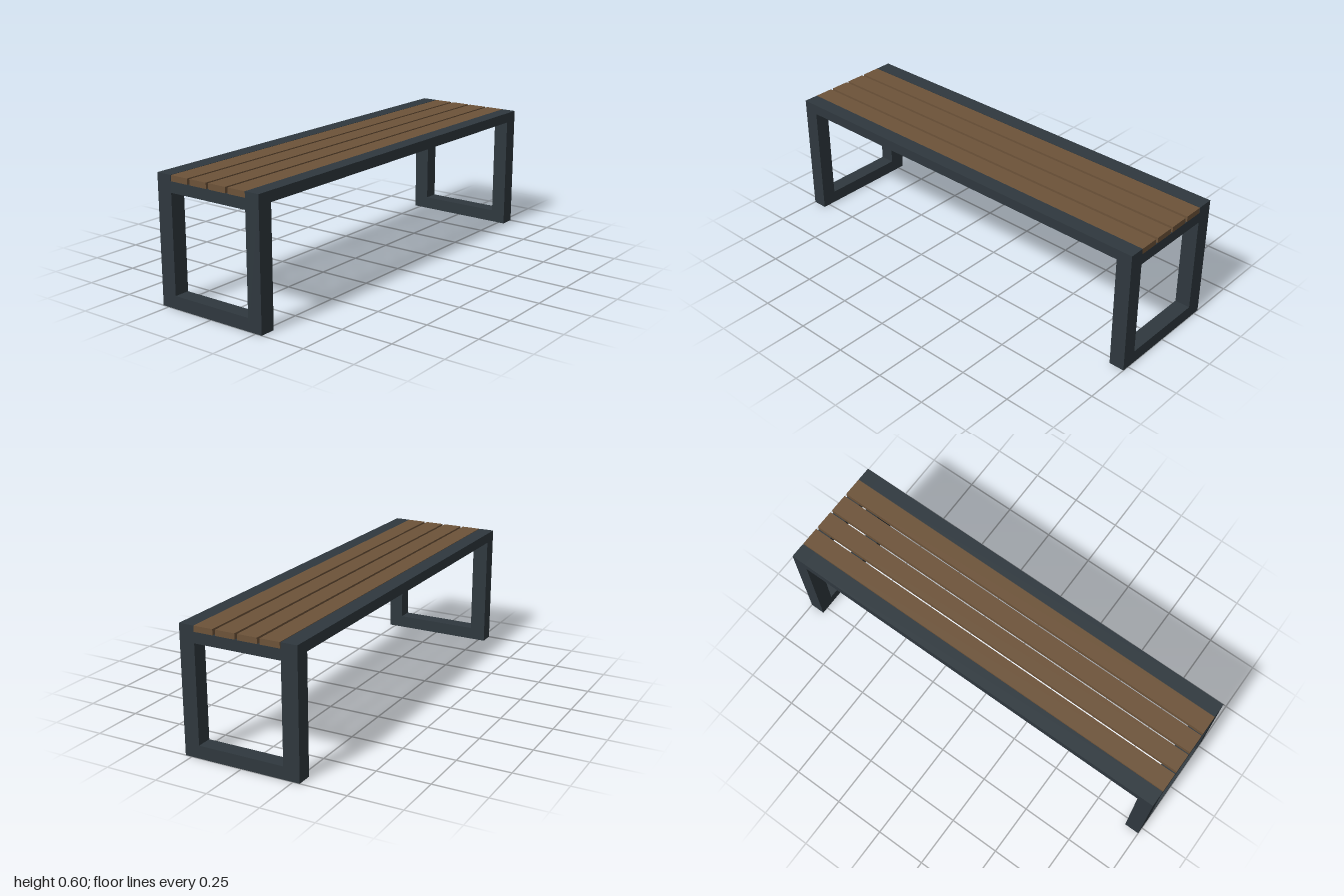
import * as THREE from 'three';

export function createModel() {
  const model = new THREE.Group();
  model.name = 'bench';

  const steel = new THREE.MeshStandardMaterial({ color: 0x2f383e });
  steel.name = 'dark steel';
  const wood = new THREE.MeshStandardMaterial({ color: 0x6d5339 });
  wood.name = 'brown wood';

  // Box given by its lower and upper limits on each axis
  function addBox(parent, name, material, [x0, x1], [y0, y1], [z0, z1]) {
    const mesh = new THREE.Mesh(new THREE.BoxGeometry(x1 - x0, y1 - y0, z1 - z0), material);
    mesh.position.set((x0 + x1) / 2, (y0 + y1) / 2, (z0 + z1) / 2);
    mesh.name = name;
    parent.add(mesh);
  }

  const top = 0.595;
  const legWidth = 0.074;
  const inner = 1 - legWidth;
  const frontZ = [0.21, 0.282];
  const backZ = [-0.282, -0.205];

  // Rectangular end frames
  for (const side of [1, -1]) {
    const frame = new THREE.Group();
    frame.name = side > 0 ? 'leftEndFrame' : 'rightEndFrame';
    const x = side > 0 ? [inner, 1] : [-1, -inner];
    addBox(frame, 'frontLeg', steel, x, [0, top], frontZ);
    addBox(frame, 'backLeg', steel, x, [0, top], backZ);
    addBox(frame, 'footBar', steel, x, [0, 0.06], [backZ[1], frontZ[0]]);
    addBox(frame, 'seatSupport', steel, x, [0.518, 0.568], [backZ[1], frontZ[0]]);
    model.add(frame);
  }

  // Long rails joining the end frames
  addBox(model, 'frontRail', steel, [-inner, inner], [0.546, top], frontZ);
  addBox(model, 'backRail', steel, [-inner, inner], [0.546, top], backZ);

  // Seat slats with narrow gaps, resting on the supports
  const slatWidth = 0.093;
  for (let i = 0; i < 4; i++) {
    const z = 0.21 - i * 0.1063;
    addBox(model, 'seatSlat' + (i + 1), wood, [-1, 1], [0.568, top], [z - slatWidth, z]);
  }

  return model;
}
